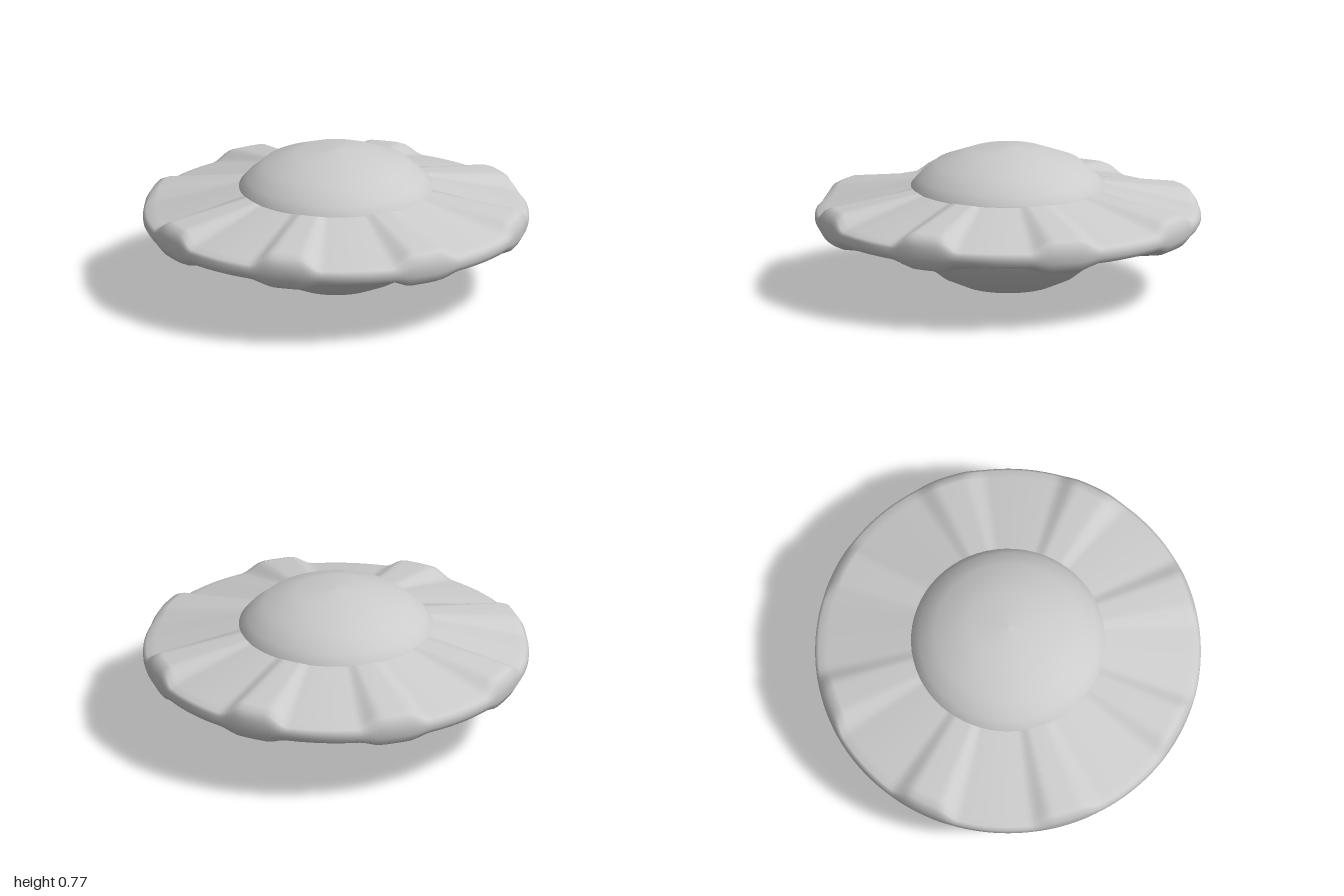
import * as THREE from 'three';

const material = new THREE.MeshStandardMaterial({ color: 0xcccccc, side: THREE.DoubleSide });

// Rim cross-sections [radius, height], from the inner top edge round to the inner bottom edge
const thinSection = [[0.48, 0.572], [0.94, 0.448], [0.985, 0.433], [1, 0.418], [1, 0.385], [0.985, 0.36], [0.94, 0.345], [0.48, 0.235]];
const thickSection = [[0.48, 0.572], [0.93, 0.505], [0.972, 0.487], [0.998, 0.445], [0.998, 0.375], [0.972, 0.33], [0.93, 0.31], [0.48, 0.235]];
const LOBES = 8;
const STEPS = 32; // angular steps per lobe

// 0 on the thin sectors, 1 on the lobes; t runs over one 45 degree period
function lobeAmount(t) {
  const degreesFromCentre = Math.abs(t - 0.5) * 45;
  return 1 - THREE.MathUtils.smoothstep(degreesFromCentre, 4.5, 11.5);
}

// Disc with eight swollen lobes around its rim
function makeDisc() {
  const count = LOBES * STEPS, rows = thinSection.length;
  const positions = [], index = [];
  for (let i = 0; i < count; i++) {
    const angle = (i / count) * Math.PI * 2;
    const k = lobeAmount((i % STEPS) / STEPS);
    for (let j = 0; j < rows; j++) {
      const r = THREE.MathUtils.lerp(thinSection[j][0], thickSection[j][0], k);
      const y = THREE.MathUtils.lerp(thinSection[j][1], thickSection[j][1], k);
      positions.push(r * Math.sin(angle), y, r * Math.cos(angle));
      if (j < rows - 1) {
        const a = i * rows + j, d = ((i + 1) % count) * rows + j;
        index.push(a, a + 1, d + 1, a, d + 1, d);
      }
    }
  }
  const geometry = new THREE.BufferGeometry();
  geometry.setAttribute('position', new THREE.Float32BufferAttribute(positions, 3));
  geometry.setIndex(index);
  geometry.computeVertexNormals();
  return geometry;
}

// Smooth round shell from a profile listed bottom to top
function makeShell(profile) {
  return new THREE.LatheGeometry(profile.map(([r, y]) => new THREE.Vector2(r, y)), 64);
}

export function createModel() {
  const group = new THREE.Group();
  const add = (name, geometry) => {
    const mesh = new THREE.Mesh(geometry, material);
    mesh.name = name;
    group.add(mesh);
  };

  add('lobedDisc', makeDisc());
  add('topDome', makeShell([[0.505, 0.55], [0.503, 0.572], [0.465, 0.615], [0.38, 0.688], [0.2, 0.755], [0, 0.77]]));
  add('bottomDome', makeShell([[0, 0], [0.235, 0.047], [0.35, 0.098], [0.45, 0.175], [0.503, 0.235], [0.505, 0.25]]));
  return group;
}
